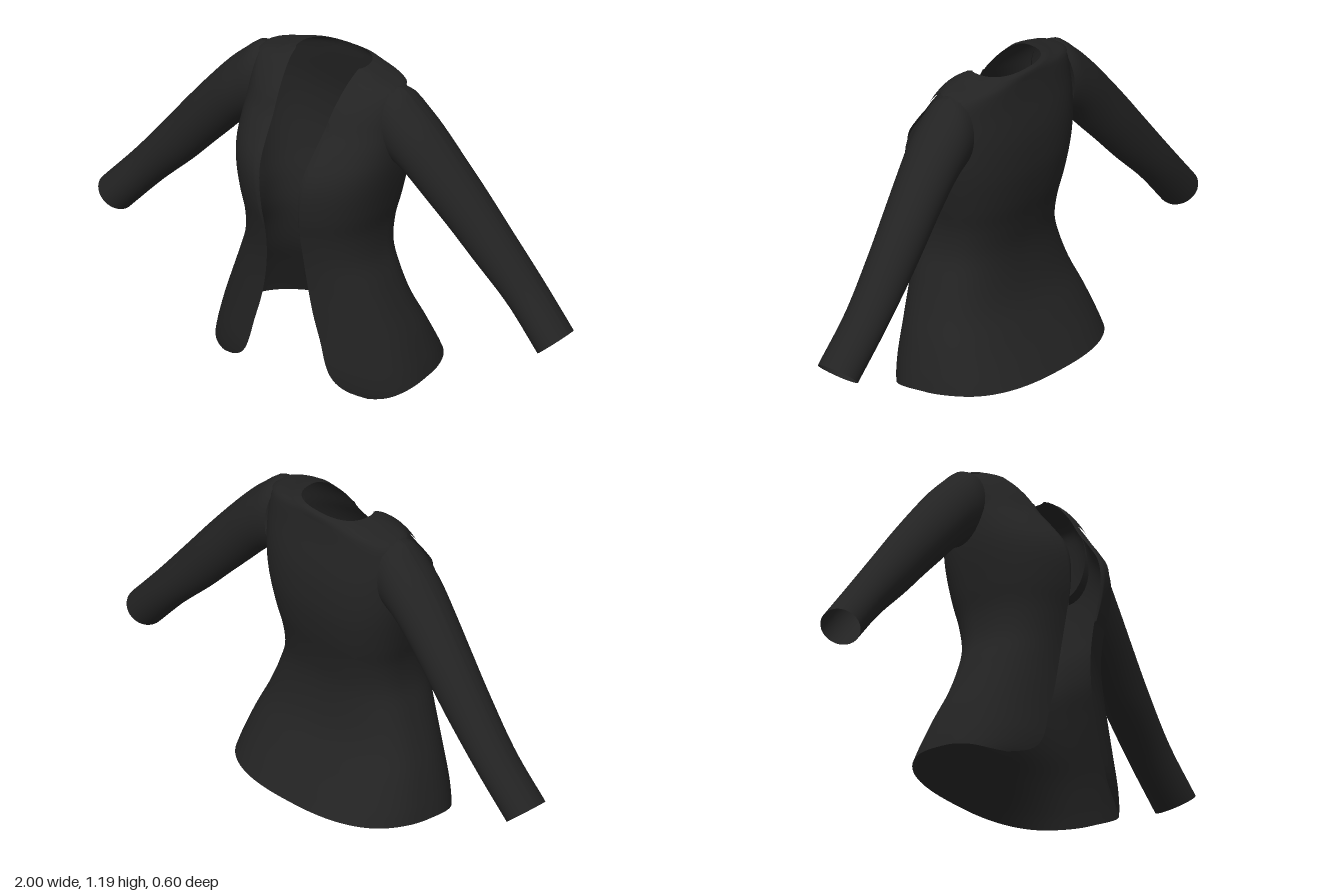
import * as THREE from 'three';

const cloth = new THREE.MeshStandardMaterial({ color: 0x232323, side: THREE.DoubleSide });
cloth.name = 'black cloth';

// Torso sections: height, half width, front z, back z, z of widest point, half opening
const TORSO = [
  [0.00, 0.435, 0.245, -0.32, -0.01, 0.31],
  [0.02, 0.430, 0.252, -0.31, -0.01, 0.245],
  [0.05, 0.423, 0.257, -0.293, -0.01, 0.20],
  [0.10, 0.410, 0.260, -0.265, -0.01, 0.17],
  [0.20, 0.378, 0.256, -0.21, 0.00, 0.142],
  [0.30, 0.338, 0.254, -0.163, 0.02, 0.112],
  [0.40, 0.300, 0.255, -0.140, 0.03, 0.092],
  [0.50, 0.267, 0.263, -0.135, 0.03, 0.080],
  [0.60, 0.264, 0.279, -0.150, 0.02, 0.076],
  [0.70, 0.284, 0.299, -0.173, 0.01, 0.079],
  [0.80, 0.303, 0.303, -0.188, 0.00, 0.085],
  [0.87, 0.312, 0.284, -0.190, -0.01, 0.093],
  [0.94, 0.314, 0.236, -0.186, -0.02, 0.102],
  [1.00, 0.313, 0.188, -0.176, -0.03, 0.109],
  [1.07, 0.311, 0.142, -0.160, -0.03, 0.117],
  [1.12, 0.303, 0.100, -0.150, -0.03, 0.124],
  [1.15, 0.275, 0.070, -0.145, -0.03, 0.129],
  [1.17, 0.200, 0.050, -0.142, -0.03, 0.133],
  [1.187, 0.146, 0.035, -0.134, -0.03, 0.135]
];
const TOP = 1.187;
const E = 0.8; // squareness of the torso sections

// Smooth interpolation of table rows by their first entry
function sample(table, t) {
  const n = table.length;
  let i = 0;
  while (i < n - 2 && t > table[i + 1][0]) i++;
  const a = table[i], b = table[i + 1], p = table[Math.max(i - 1, 0)], q = table[Math.min(i + 2, n - 1)];
  const h = b[0] - a[0], k = THREE.MathUtils.clamp((t - a[0]) / h, 0, 1), k2 = k * k, k3 = k2 * k;
  return a.map((v, c) => {
    const ma = (b[c] - p[c]) / (b[0] - p[0]) * h, mb = (q[c] - v) / (q[0] - a[0]) * h;
    return (2 * k3 - 3 * k2 + 1) * v + (k3 - 2 * k2 + k) * ma + (3 * k2 - 2 * k3) * b[c] + (k3 - k2) * mb;
  });
}

const power = (v) => Math.sign(v) * Math.pow(Math.abs(v), E);

// Angle around the torso at which the front reaches a given x
function angleAt(y, x) {
  const w = sample(TORSO, y)[1];
  return Math.asin(Math.pow(Math.min(x / w, 1), 1 / E));
}
const openingAngle = (y) => angleAt(y, sample(TORSO, y)[5]);

function torsoPoint(y, angle, lift = 0) {
  const [, w, front, back, mid] = sample(TORSO, y);
  const s = Math.sin(angle), c = Math.cos(angle);
  const depth = c > 0 ? front - mid : mid - back;
  return [(w + lift) * power(s), y + lift * 0.3, mid + (depth + lift) * power(c)];
}

// Grid surface from a function of u (across) and v (up)
function surface(name, nu, nv, fn) {
  const pos = [], index = [];
  for (let j = 0; j <= nv; j++)
    for (let i = 0; i <= nu; i++) pos.push(...fn(i / nu, j / nv));
  for (let j = 0; j < nv; j++)
    for (let i = 0; i < nu; i++) {
      const a = j * (nu + 1) + i, d = a + nu + 1;
      index.push(a, a + 1, d, a + 1, d + 1, d);
    }
  const geo = new THREE.BufferGeometry();
  geo.setAttribute('position', new THREE.Float32BufferAttribute(pos, 3));
  geo.setIndex(index);
  geo.computeVertexNormals();
  const mesh = new THREE.Mesh(geo, cloth);
  mesh.name = name;
  return mesh;
}

// Sleeve sections: position, upper x and y, lower x and y, z centre, half depth
const SLEEVE = [
  [0.00, 0.275, 1.150, 0.285, 0.87, -0.025, 0.100],
  [0.06, 0.315, 1.147, 0.305, 0.86, -0.025, 0.105],
  [0.13, 0.365, 1.105, 0.335, 0.845, -0.026, 0.106],
  [0.22, 0.430, 1.045, 0.375, 0.813, -0.028, 0.105],
  [0.35, 0.520, 0.945, 0.445, 0.740, -0.035, 0.098],
  [0.48, 0.620, 0.825, 0.525, 0.657, -0.045, 0.092],
  [0.62, 0.720, 0.700, 0.615, 0.562, -0.053, 0.086],
  [0.81, 0.860, 0.528, 0.755, 0.426, -0.060, 0.080],
  [1.00, 1.000, 0.370, 0.892, 0.277, -0.050, 0.080]
];

function sleeve(name, side) {
  return surface(name, 32, 30, (u, v) => {
    const [, ux, uy, lx, ly, zc, d] = sample(SLEEVE, v);
    const a = u * Math.PI * 2 * side, k = Math.cos(a) / 2;
    return [side * ((ux + lx) / 2 + (ux - lx) * k), (uy + ly) / 2 + (uy - ly) * k, zc + d * Math.sin(a)];
  });
}

// Lapel outline: height, outer x
const LAPEL = [[0.62, 0.077], [0.72, 0.112], [0.86, 0.155], [0.995, 0.205], [1.035, 0.135]];

function lapelOuter(y) {
  let i = 0;
  while (i < LAPEL.length - 2 && y > LAPEL[i + 1][0]) i++;
  const [a, b] = [LAPEL[i], LAPEL[i + 1]];
  return THREE.MathUtils.mapLinear(y, a[0], b[0], a[1], b[1]);
}

function lapel(name, side) {
  return surface(name, 10, 30, (u, v) => {
    const y = 0.62 + 0.415 * v;
    const t = side > 0 ? u : 1 - u;
    const a = THREE.MathUtils.lerp(openingAngle(y), angleAt(y, lapelOuter(y)), t);
    return torsoPoint(y, side * a, 0.007 * Math.min(1, t * 4));
  });
}

export function createModel() {
  const jacket = new THREE.Group();
  jacket.name = 'jacket';

  // Open-fronted body with rounded front corners and a flared hem
  jacket.add(surface('body', 96, 70, (u, v) => {
    const fromEdge = 1 - Math.abs(2 * u - 1);
    const hem = 0.05 * THREE.MathUtils.smoothstep(fromEdge, 0, 0.6);
    const rise = v < 0.3 ? v * v / 0.6 + v * 0.25 : 0.225 + (v - 0.3) * 1.107;
    const y = hem + (TOP - hem) * Math.min(rise, 1);
    const a0 = openingAngle(y);
    return torsoPoint(y, a0 + u * 2 * (Math.PI - a0));
  }));

  // Collar, deeper at the front and narrow round the neck
  jacket.add(surface('collar', 96, 14, (u, v) => {
    const fromEdge = 1 - Math.abs(2 * u - 1);
    const low = 1.05 + 0.09 * THREE.MathUtils.smoothstep(fromEdge, 0.12, 0.26);
    const y = THREE.MathUtils.lerp(low, TOP, v);
    const a0 = openingAngle(y);
    return torsoPoint(y, a0 + u * 2 * (Math.PI - a0), 0.007 * Math.min(1, fromEdge * 20, (1 - v) * 5));
  }));

  for (const [label, side] of [['left', 1], ['right', -1]]) {
    jacket.add(sleeve(label + 'Sleeve', side));
    jacket.add(lapel(label + 'Lapel', side));
  }
  return jacket;
}
